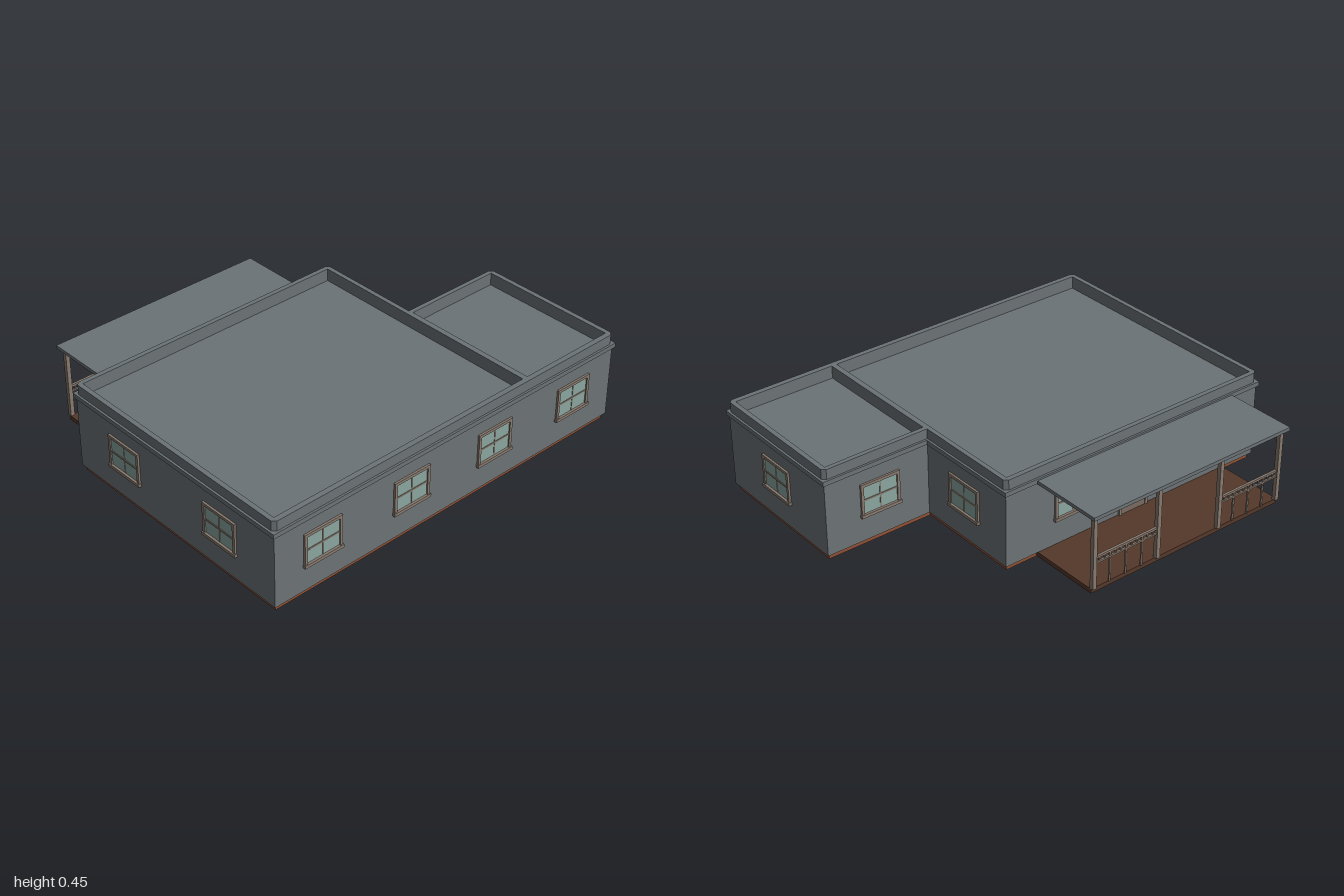
import * as THREE from 'three';

const mat = (name, color) => {
  const m = new THREE.MeshStandardMaterial({ color });
  m.name = name;
  return m;
};

export function createModel() {
  const wallGrey = mat('wall grey', 0x6c7376);
  const brick = mat('foundation brick', 0x8f5034);
  const trim = mat('trim taupe', 0x887a6f);
  const glass = mat('window glass', 0x8aa59f);
  const deckWood = mat('deck wood', 0x55382a);
  const doorWood = mat('door panel', 0x786a60);

  const house = new THREE.Group();
  house.name = 'house';

  const box = (parent, name, material, w, h, d, x, y, z) => {
    const m = new THREE.Mesh(new THREE.BoxGeometry(w, h, d), material);
    m.name = name;
    m.position.set(x, y, z);
    parent.add(m);
    return m;
  };

  // L-shaped floor plan grown outward by o; corners cut by c
  const plan = (o, c = 0) => {
    const x0 = -0.985 - o, x1 = 0.45 + o, x2 = 0.98 + o;
    const back = 0.458 + o, mid = -0.075 + o, front = -0.808 - o;
    const p = [[x0, front], [x2, front], [x2, mid], [x1, mid], [x1, back], [x0, back]]
      .map(([x, y]) => new THREE.Vector2(x, y));
    if (!c) return new THREE.Shape(p);
    const pts = [];
    p.forEach((v, i) => {
      if (i === 3) { pts.push(v); return; }
      for (const n of [p[(i + 5) % 6], p[(i + 1) % 6]]) {
        pts.push(v.clone().add(n.clone().sub(v).setLength(c)));
      }
    });
    return new THREE.Shape(pts);
  };
  const rectHole = (x0, x1, z0, z1) => new THREE.Path(
    [[x0, -z0], [x1, -z0], [x1, -z1], [x0, -z1]].map(([x, y]) => new THREE.Vector2(x, y)));
  const slab = (name, material, shape, y0, y1, open) => {
    if (open) shape.holes.push(rectHole(-0.962, 0.428, -0.435, 0.782), rectHole(0.455, 0.957, 0.097, 0.782));
    const g = new THREE.ExtrudeGeometry(shape, { depth: y1 - y0, bevelEnabled: false });
    g.rotateX(-Math.PI / 2);
    const m = new THREE.Mesh(g, material);
    m.name = name;
    m.position.y = y0;
    house.add(m);
  };

  // Body and flat roofs inside a parapet
  slab('foundation', brick, plan(-0.013), 0, 0.026);
  slab('walls', wallGrey, plan(0), 0.026, 0.388);
  slab('corniceBand', wallGrey, plan(0.01), 0.38, 0.402, true);
  slab('parapet', wallGrey, plan(0, 0.016), 0.402, 0.45, true);

  // Window facing +z, placed on a wall by position and turn
  const addWindow = (x, z, turn) => {
    const w = new THREE.Group();
    w.name = 'window';
    box(w, 'windowGlass', glass, 0.176, 0.138, 0.006, 0, 0.232, 0.001);
    for (const s of [-1, 1]) box(w, 'sideCasing', trim, 0.014, 0.15, 0.02, s * 0.093, 0.235, 0);
    box(w, 'headCasing', trim, 0.2, 0.014, 0.02, 0, 0.304, 0);
    box(w, 'sill', trim, 0.208, 0.015, 0.03, 0, 0.155, 0);
    box(w, 'verticalBar', trim, 0.006, 0.135, 0.012, 0, 0.232, 0);
    box(w, 'horizontalBar', trim, 0.176, 0.008, 0.014, 0, 0.23, 0);
    w.position.set(x, 0, z);
    w.rotation.y = turn;
    house.add(w);
  };
  const quarter = Math.PI / 2;
  for (const x of [-0.735, -0.248, 0.24, 0.73]) addWindow(x, 0.808, 0);
  for (const z of [-0.135, 0.48]) addWindow(-0.985, z, -quarter);
  addWindow(0.98, 0.443, quarter);
  addWindow(0.45, -0.18, quarter);
  addWindow(0.705, 0.075, Math.PI);
  for (const x of [-0.64, 0.09]) addWindow(x, -0.458, Math.PI);

  // Back door
  const door = new THREE.Group();
  door.name = 'door';
  box(door, 'doorPanel', doorWood, 0.14, 0.295, 0.012, 0, 0.173, 0);
  for (const s of [-1, 1]) box(door, 'doorCasing', trim, 0.014, 0.305, 0.02, s * 0.075, 0.178, 0);
  box(door, 'doorHead', trim, 0.164, 0.014, 0.02, 0, 0.325, 0);
  door.position.set(-0.255, 0, -0.458);
  house.add(door);

  // Porch deck, roof, posts
  const porch = new THREE.Group();
  porch.name = 'porch';
  house.add(porch);
  box(porch, 'porchDeck', deckWood, 1.08, 0.022, 0.35, -0.265, 0.012, -0.62);
  box(porch, 'porchRoof', wallGrey, 1.115, 0.017, 0.365, -0.2675, 0.385, -0.641);
  const posts = [-0.795, -0.442, -0.088, 0.265];
  for (const x of posts) box(porch, 'porchPost', trim, 0.02, 0.354, 0.02, x, 0.2, -0.797);

  // Railings in the two outer bays
  for (const i of [0, 2]) {
    const a = posts[i], b = posts[i + 1], mid = (a + b) / 2;
    box(porch, 'topRail', trim, b - a, 0.01, 0.012, mid, 0.175, -0.797);
    box(porch, 'lowerRail', trim, b - a, 0.008, 0.01, mid, 0.148, -0.797);
    for (let k = 1; k < 12; k++) {
      const x = a + (b - a) * k / 12;
      if (k % 3) box(porch, 'railSpindle', trim, 0.006, 0.022, 0.006, x, 0.161, -0.797);
      else box(porch, 'baluster', trim, 0.008, 0.15, 0.008, x, 0.097, -0.797);
    }
  }
  return house;
}
